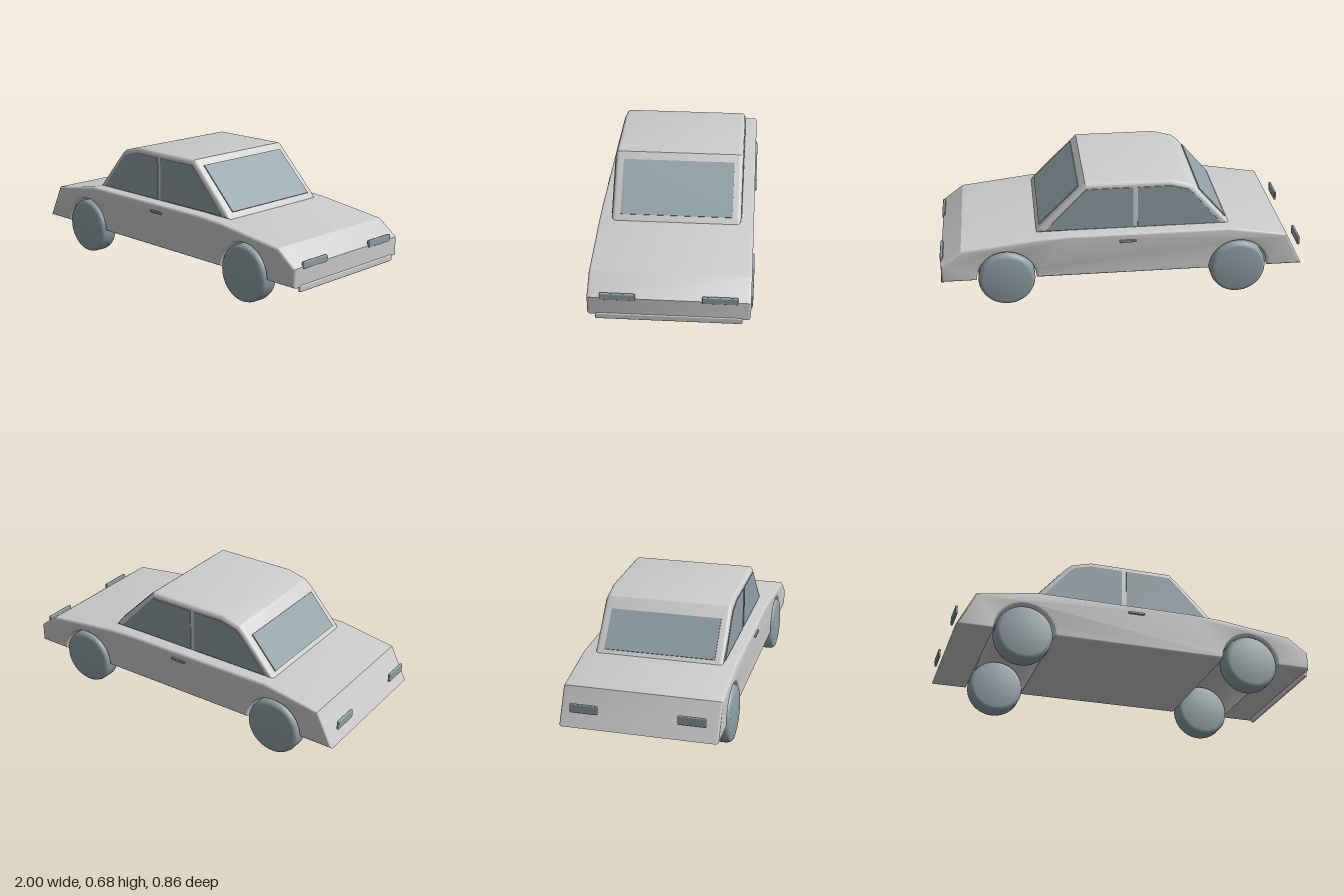
import * as THREE from 'three';
import { toCreasedNormals } from 'three/addons/utils/BufferGeometryUtils.js';
import { RoundedBoxGeometry } from 'three/addons/geometries/RoundedBoxGeometry.js';

const WHEEL_X = 0.64, WHEEL_R = 0.155, SILL = 0.157;

export function createModel() {
  const car = new THREE.Group();
  car.name = 'car';
  const paint = new THREE.MeshStandardMaterial({ color: 0xcccccc });
  const dark = new THREE.MeshStandardMaterial({ color: 0x8f9fa5 });

  function add(name, geometry, material, x = 0, y = 0, z = 0) {
    const mesh = new THREE.Mesh(geometry, material);
    mesh.name = name;
    mesh.position.set(x, y, z);
    car.add(mesh);
    return mesh;
  }

  // Side profile swept across the car, with rounded side edges inside the outline
  function sweep(shape, width, bevel) {
    const g = new THREE.ExtrudeGeometry(shape, {
      depth: width - 2 * bevel, curveSegments: 24,
      bevelThickness: bevel, bevelSize: bevel, bevelOffset: -bevel, bevelSegments: 4,
    });
    g.translate(0, 0, -width / 2 + bevel);
    return toCreasedNormals(g, 0.42);
  }

  const outline = (points) => new THREE.Shape(points.map(([x, y]) => new THREE.Vector2(x, y)));

  // Lower body with wheel arches cut through its full width
  const body = new THREE.Shape();
  body.moveTo(-1, SILL);
  for (const x of [-WHEEL_X, WHEEL_X]) {
    body.lineTo(x - 0.163, SILL);
    body.absarc(x, SILL, 0.163, Math.PI, 0, true);
  }
  for (const [x, y] of [[0.993, SILL], [0.993, 0.258], [0.88, 0.343], [0.47, 0.393],
    [0.3, 0.402], [-0.58, 0.402], [-0.905, 0.347]]) body.lineTo(x, y);
  body.closePath();
  add('body', sweep(body, 0.836, 0.014), paint);

  // Cabin
  add('cabin', sweep(outline([
    [-0.595, 0.395], [0.47, 0.395], [0.45, 0.425], [0.2, 0.675], [-0.26, 0.675],
    [-0.37, 0.645], [-0.405, 0.615],
  ]), 0.698, 0.022), paint);

  // Windscreen and rear window, thin panes lying on the slopes
  function pane(name, x0, y0, x1, y1) {
    const geometry = new THREE.BoxGeometry(Math.hypot(x1 - x0, y1 - y0), 0.012, 0.604);
    add(name, geometry, dark, (x0 + x1) / 2, (y0 + y1) / 2, 0)
      .rotation.z = Math.atan2(y1 - y0, x1 - x0);
  }
  pane('windscreen', 0.232, 0.642, 0.45, 0.424);
  pane('rearWindow', -0.575, 0.418, -0.425, 0.592);

  const rearDoorGlass = outline([[-0.545, 0.408], [-0.085, 0.408], [-0.085, 0.645],
    [-0.265, 0.645], [-0.36, 0.62], [-0.385, 0.597]]);
  const frontDoorGlass = outline([[-0.06, 0.408], [0.42, 0.408], [0.195, 0.645], [-0.06, 0.645]]);

  // Tyre section turned around the axle
  const wheelProfile = [[0, -0.055], [0.13, -0.055], [0.142, -0.052], [0.151, -0.043], [WHEEL_R, -0.03],
    [WHEEL_R, 0.03], [0.151, 0.043], [0.142, 0.052], [0.13, 0.055], [0, 0.055]];
  const wheel = toCreasedNormals(new THREE.LatheGeometry(
    wheelProfile.map(([r, y]) => new THREE.Vector2(r, y)), 48).rotateX(Math.PI / 2), 0.65);

  for (const side of [-1, 1]) {
    const label = side > 0 ? 'Left' : 'Right';

    // Door glass standing slightly proud of the cabin side
    [['rearDoorGlass', rearDoorGlass], ['frontDoorGlass', frontDoorGlass]].forEach(([name, shape]) => {
      const g = new THREE.ExtrudeGeometry(shape, { depth: 0.012, bevelEnabled: false });
      g.translate(0, 0, -0.006);
      add(name + label, g, dark, 0, 0, side * 0.347);
    });

    add('doorHandle' + label, new RoundedBoxGeometry(0.092, 0.014, 0.016, 2, 0.004),
      dark, -0.024, 0.357, side * 0.419);

    add('rearWheel' + label, wheel, dark, -WHEEL_X, WHEEL_R, side * 0.373);
    add('frontWheel' + label, wheel, dark, WHEEL_X, WHEEL_R, side * 0.373);

    add('headlight' + label, new RoundedBoxGeometry(0.016, 0.038, 0.182, 2, 0.005),
      dark, 0.99, 0.266, side * 0.261);
    add('tailLight' + label, new RoundedBoxGeometry(0.013, 0.05, 0.148, 2, 0.005),
      dark, -0.9935, 0.266, side * 0.282);
  }

  // Front bumper strip below the nose
  add('bumper', new RoundedBoxGeometry(0.018, 0.034, 0.752, 2, 0.006), paint, 0.99, 0.148, 0);

  return car;
}
